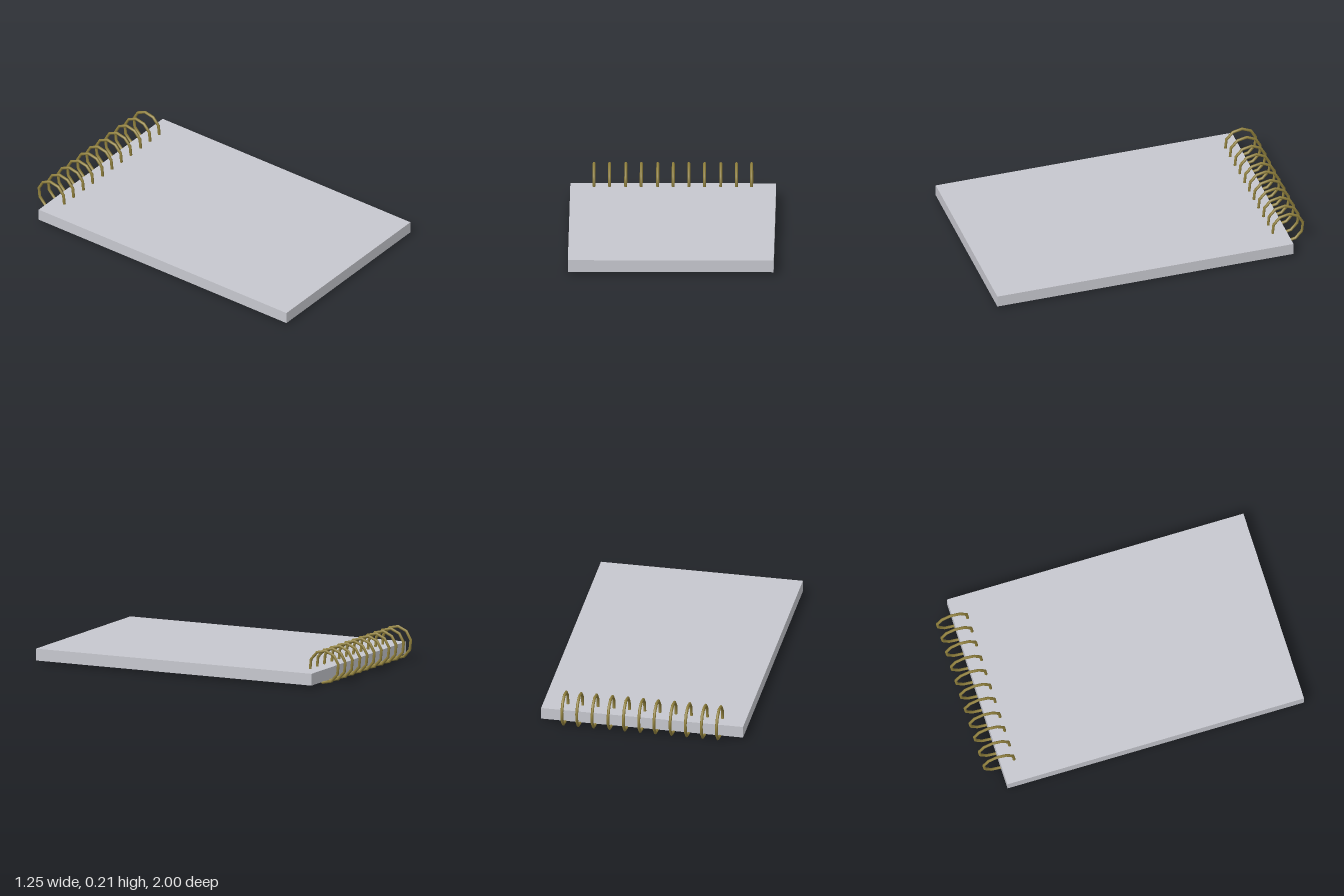
import * as THREE from 'three';

export function createModel() {
  const model = new THREE.Group();
  model.name = 'notepad';
  const paper = new THREE.MeshStandardMaterial({ color: 0xc6c7ce });
  paper.name = 'pale grey paper';
  const brass = new THREE.MeshStandardMaterial({ color: 0x8f7f3c });
  brass.name = 'dull brass';

  // Block of pages
  const pad = new THREE.Mesh(new THREE.BoxGeometry(1.25, 0.073, 1.885), paper);
  pad.name = 'pages';
  pad.position.set(0, 0.05, 0.0575);
  model.add(pad);

  // Ten-sided binding rings, turned to stand in the side plane
  const ringGeometry = new THREE.TorusGeometry(0.0985, 0.009, 8, 10);
  ringGeometry.rotateZ(THREE.MathUtils.degToRad(12));
  ringGeometry.rotateY(Math.PI / 2);
  const binding = new THREE.Group();
  binding.name = 'binding';
  const ringPositions = [-0.481, -0.387, -0.288, -0.194, -0.094, 0, 0.095, 0.19, 0.289, 0.384, 0.476];
  for (const x of ringPositions) {
    const ring = new THREE.Mesh(ringGeometry, brass);
    ring.name = 'bindingRing';
    ring.position.set(x, 0.107, -0.895);
    binding.add(ring);
  }
  model.add(binding);
  return model;
}
